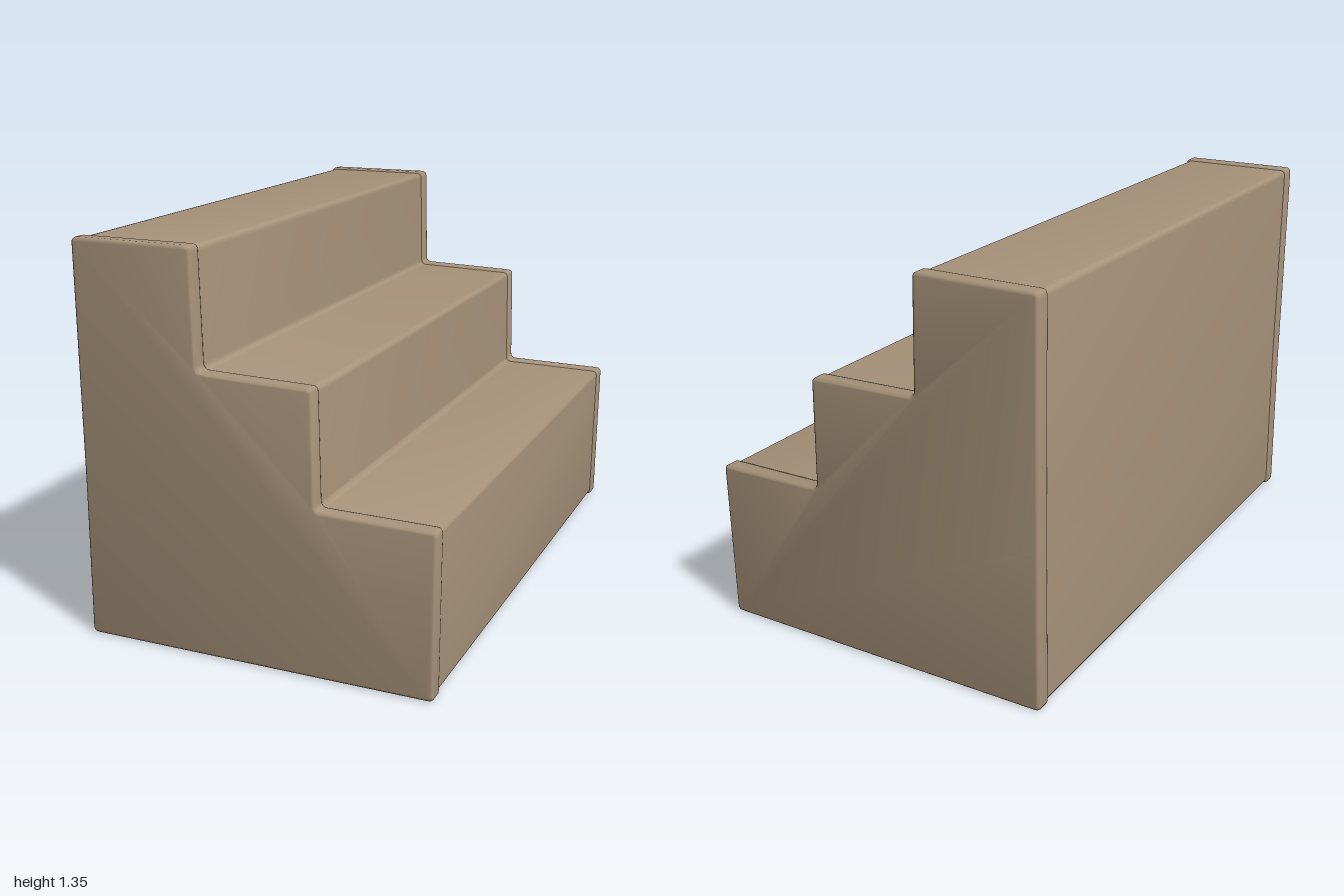
import * as THREE from 'three';
import { toCreasedNormals } from 'three/addons/utils/BufferGeometryUtils.js';

// Stair side profile (x, y), counter-clockwise, slightly worn and uneven
const PROFILE = [
  [-0.615, 0.006], [0.605, 0.006], [0.611, 0.553], [0.213, 0.558],
  [0.207, 0.945], [-0.185, 0.955], [-0.192, 1.347], [-0.607, 1.347], [-0.608, 0.55],
];

// Closed shape with softened corners, grown outward by g
function stairShape(g, r = 0.02) {
  const pts = PROFILE.map((p) => new THREE.Vector2(...p));
  const n = pts.length;
  const grown = pts.map((p, i) => {
    const a = p.clone().sub(pts[(i + n - 1) % n]).normalize();
    const b = pts[(i + 1) % n].clone().sub(p).normalize();
    const na = new THREE.Vector2(a.y, -a.x), nb = new THREE.Vector2(b.y, -b.x);
    return na.clone().add(nb).multiplyScalar(g / (1 + na.dot(nb))).add(p);
  });
  const shape = new THREE.Shape();
  grown.forEach((p, i) => {
    const toward = (q) => q.clone().sub(p).setLength(r).add(p);
    const s = toward(grown[(i + n - 1) % n]), e = toward(grown[(i + 1) % n]);
    if (i === 0) shape.moveTo(s.x, s.y);
    else shape.lineTo(s.x, s.y);
    shape.quadraticCurveTo(p.x, p.y, e.x, e.y);
  });
  shape.closePath();
  return shape;
}

// Bevelled slab of the profile between z0 and z1
function slab(name, grow, z0, z1, bevel, material) {
  let geo = new THREE.ExtrudeGeometry(stairShape(grow), {
    depth: z1 - z0 - 2 * bevel, bevelEnabled: true, bevelThickness: bevel,
    bevelSize: bevel, bevelOffset: -bevel, bevelSegments: 3, curveSegments: 4,
  });
  geo.translate(0, 0, z0 + bevel);
  geo = toCreasedNormals(geo, 0.7);
  const mesh = new THREE.Mesh(geo, material);
  mesh.name = name;
  return mesh;
}

export function createModel() {
  const group = new THREE.Group();
  group.name = 'staircase';
  const stone = new THREE.MeshStandardMaterial({ color: 0xa8937a });
  stone.name = 'tan stone';

  // Solid flight of three steps
  group.add(slab('steps', 0, -0.985, 0.985, 0.012, stone));

  // Slightly raised worn rims at both ends
  group.add(slab('frontRim', 0.006, 0.94, 1, 0.012, stone));
  group.add(slab('backRim', 0.006, -1, -0.94, 0.012, stone));
  return group;
}
